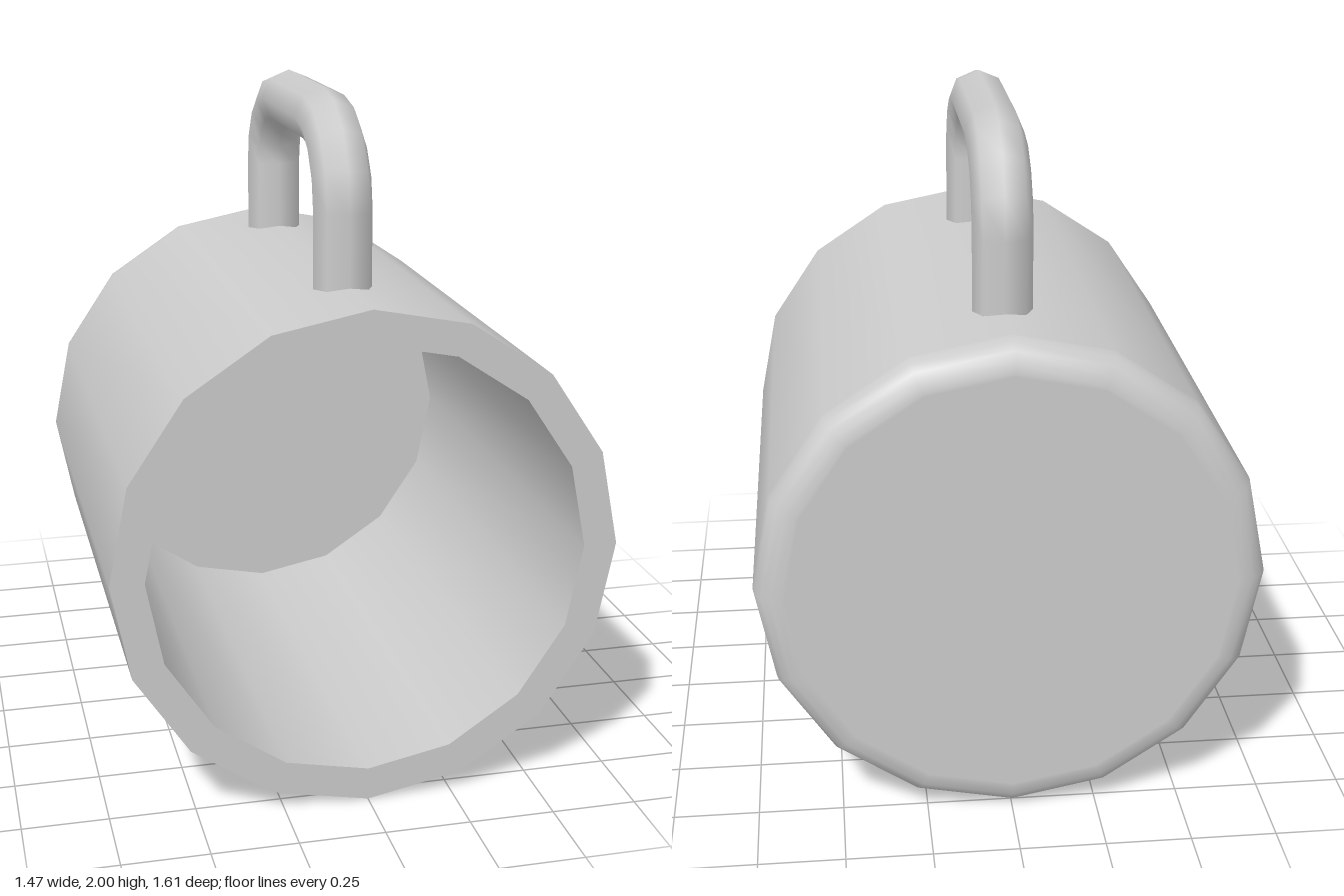
import * as THREE from 'three';
import { mergeGeometries } from 'three/addons/utils/BufferGeometryUtils.js';

const SIDES = 16;
const OUTER = 0.735, INNER = 0.637, HALF = 0.807, CENTRE_Y = 0.737;
const FLOOR = -0.71, FILLET = 0.08;

export function createModel() {
  const group = new THREE.Group();
  group.name = 'mug';
  const material = new THREE.MeshStandardMaterial({ color: 0xcccccc });

  const add = (name, geometry) => {
    const mesh = new THREE.Mesh(geometry, material);
    mesh.name = name;
    group.add(mesh);
    return mesh;
  };

  // Spins a profile of [radius, z] about the mug's lying axis
  const spin = (name, profile) => {
    const points = profile.map(([r, z]) => new THREE.Vector2(r, z));
    const geometry = new THREE.LatheGeometry(points, SIDES);
    geometry.rotateX(Math.PI / 2);
    add(name, geometry).position.y = CENTRE_Y;
  };

  // Outer shell: flat base, rounded edge and straight wall
  const shell = [[0, -HALF], [OUTER - FILLET - 0.01, -HALF]];
  for (let i = 0; i <= 4; i++) {
    const a = (i / 4) * Math.PI / 2;
    shell.push([OUTER - FILLET + FILLET * Math.sin(a), -HALF + FILLET - FILLET * Math.cos(a)]);
  }
  shell.push([OUTER, -HALF + FILLET + 0.01], [OUTER, HALF]);
  spin('outerShell', shell);

  // Rim and hollow inside, kept apart for sharp edges
  spin('rim', [[OUTER, HALF], [INNER, HALF]]);
  spin('innerWall', [[INNER, HALF], [INNER, FLOOR]]);
  spin('innerFloor', [[INNER, FLOOR], [0, FLOOR]]);

  // Handle: two legs, two quarter bends and a straight grip
  const tube = 0.087, bend = 0.235, legZ = 0.468;
  const bendY = 2 - tube - bend, footY = 1.42, gripHalf = legZ - bend;
  const parts = [];
  for (const side of [1, -1]) {
    const leg = new THREE.CylinderGeometry(tube, tube, bendY - footY, 8, 1, true);
    parts.push(leg.translate(0, (bendY + footY) / 2, side * legZ));
    const corner = new THREE.TorusGeometry(bend, tube, 8, 4, Math.PI / 2);
    parts.push(corner.rotateY(-side * Math.PI / 2).translate(0, bendY, side * gripHalf));
  }
  const grip = new THREE.CylinderGeometry(tube, tube, 2 * gripHalf, 8, 1, true);
  parts.push(grip.rotateX(Math.PI / 2).translate(0, bendY + bend, 0));
  add('handle', mergeGeometries(parts));

  return group;
}
